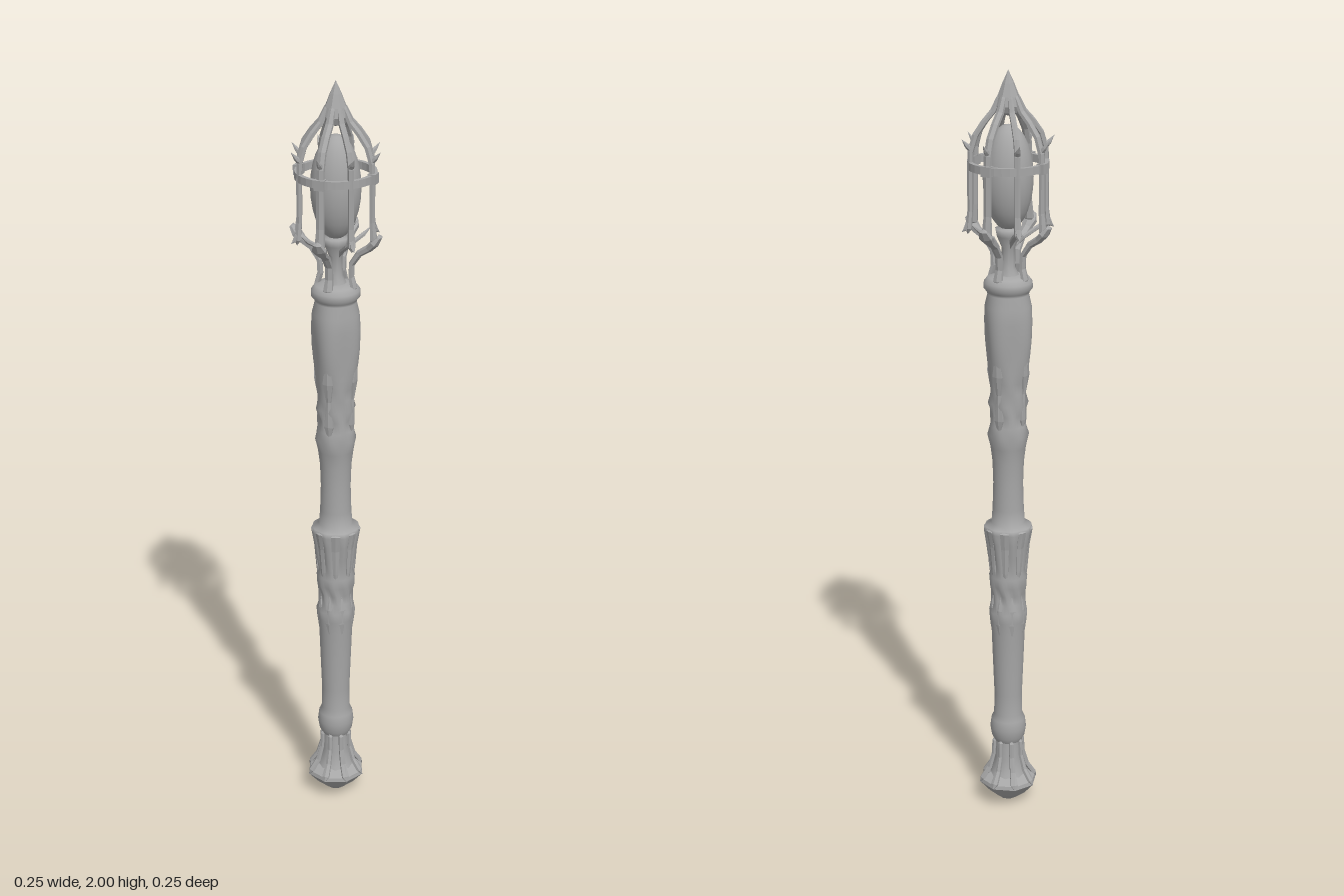
import * as THREE from 'three';
import { mergeVertices } from 'three/addons/utils/BufferGeometryUtils.js';

const metal = new THREE.MeshStandardMaterial({ color: 0xa6a6a6 });
metal.name = 'grey metal';

function add(parent, name, geo) {
  const mesh = new THREE.Mesh(geo, metal);
  mesh.name = name;
  parent.add(mesh);
  return mesh;
}

// Turned part from [radius, y] points; carve(angle, y) scales the radius
function turned(profile, sides, carve, flat) {
  let geo = new THREE.LatheGeometry(profile.map(([r, y]) => new THREE.Vector2(r, y)), sides);
  const p = geo.attributes.position;
  for (let i = 0; carve && i < p.count; i++) {
    const x = p.getX(i), z = p.getZ(i), k = carve(Math.atan2(z, x), p.getY(i));
    p.setX(i, x * k);
    p.setZ(i, z * k);
  }
  geo.deleteAttribute('normal');
  geo.deleteAttribute('uv');
  geo = mergeVertices(geo, 1e-5);
  if (flat) geo = geo.toNonIndexed();
  geo.computeVertexNormals();
  return geo;
}

// Tapered rib in the radial plane from [radius, y, halfWidth, halfDepth] points
function rib(points, sides = 6) {
  const pos = [], index = [], n = points.length;
  points.forEach(([r, y, w, d], i) => {
    const a = points[Math.max(i - 1, 0)], b = points[Math.min(i + 1, n - 1)];
    const t = new THREE.Vector2(b[0] - a[0], b[1] - a[1]).normalize();
    for (let j = 0; j < sides; j++) {
      const q = (j / sides) * Math.PI * 2, c = Math.cos(q) * d;
      pos.push(r + t.y * c, y - t.x * c, -Math.sin(q) * w);
    }
  });
  for (let i = 0; i < n - 1; i++) {
    for (let j = 0; j < sides; j++) {
      const a = i * sides + j, b = i * sides + (j + 1) % sides;
      index.push(a, b, b + sides, a, b + sides, a + sides);
    }
  }
  let geo = new THREE.BufferGeometry();
  geo.setAttribute('position', new THREE.Float32BufferAttribute(pos, 3));
  geo.setIndex(index);
  geo = geo.toNonIndexed();
  geo.computeVertexNormals();
  return geo;
}

// Repeats a geometry around the y axis
function around(parent, name, geo, count, start = 0) {
  for (let k = 0; k < count; k++) {
    add(parent, name, geo).rotation.y = start + (k / count) * Math.PI * 2;
  }
}

const bump = (y, mid, half) => Math.max(0, 1 - Math.abs(y - mid) / half);

export function createModel() {
  const model = new THREE.Group();
  model.name = 'ornateSceptre';
  const Q = Math.PI / 4;

  // Shaft with carved swellings
  const shaft = [
    [0.036, 0.18], [0.044, 0.195], [0.048, 0.22], [0.045, 0.245], [0.038, 0.26], [0.037, 0.32],
    [0.041, 0.42], [0.044, 0.5], [0.049, 0.535], [0.05, 0.56], [0.044, 0.585], [0.043, 0.61],
    [0.049, 0.635], [0.05, 0.66], [0.046, 0.68], [0.051, 0.72], [0.056, 0.76], [0.063, 0.79],
    [0.061, 0.802], [0.044, 0.81], [0.041, 0.85], [0.039, 0.92], [0.041, 0.98], [0.046, 1.02],
    [0.053, 1.055], [0.047, 1.08], [0.045, 1.11], [0.049, 1.14], [0.046, 1.17], [0.05, 1.2],
    [0.053, 1.23], [0.057, 1.27], [0.06, 1.31], [0.062, 1.36], [0.06, 1.4], [0.053, 1.43],
    [0.055, 1.437], [0.063, 1.447], [0.062, 1.462], [0.052, 1.475], [0.028, 1.48], [0, 1.48],
  ];
  add(model, 'shaft', turned(shaft, 40, (a, y) => {
    const leaf = 0.11 * bump(y, 0.74, 0.07) * Math.cos(8 * a);
    const scallop = 0.07 * bump(y, 0.6, 0.08) * Math.cos(8 * a + Math.PI * Math.sin(y * 60));
    const drape = 0.08 * bump(y, 1.3, 0.13) * Math.cos(4 * a + 3 * (y - 1.3));
    const carving = 0.1 * bump(y, 1.13, 0.11) * Math.cos(6 * a + 2 * Math.sin(y * 70));
    return 1 + leaf + scallop + drape + carving;
  }));

  // Raised leaves on the shaft
  const leaves = new THREE.Group();
  leaves.name = 'shaftLeaves';
  model.add(leaves);
  around(leaves, 'gripLeaf', rib([
    [0.044, 0.63, 0, 0], [0.046, 0.68, 0.008, 0.005], [0.051, 0.75, 0.012, 0.006],
    [0.06, 0.795, 0.014, 0.005], [0.05, 0.807, 0, 0],
  ]), 8, Q / 2);
  around(leaves, 'upperLeaf', rib([
    [0.043, 1.05, 0, 0], [0.045, 1.1, 0.014, 0.006], [0.046, 1.17, 0.007, 0.005],
    [0.052, 1.22, 0.016, 0.006], [0.054, 1.3, 0.006, 0.005], [0.053, 1.38, 0, 0],
  ]), 4, 0);
  around(leaves, 'lowerLeaf', rib([
    [0.038, 0.46, 0, 0], [0.044, 0.53, 0.013, 0.005], [0.044, 0.57, 0.011, 0.005], [0.041, 0.61, 0, 0],
  ]), 8, 0);

  // Flared, fluted pommel with a faceted point
  const pommel = new THREE.Group();
  pommel.name = 'pommel';
  model.add(pommel);
  add(pommel, 'pommelCore', turned(
    [[0.06, 0.065], [0.044, 0.09], [0.035, 0.13], [0.033, 0.19]], 16));
  add(pommel, 'pommelPoint', turned(
    [[0, 0], [0.022, 0.008], [0.05, 0.03], [0.074, 0.058], [0.072, 0.068], [0.045, 0.085]], 16,
    (a) => 1 + 0.04 * Math.cos(8 * a), true));
  around(pommel, 'pommelRib', rib([
    [0.036, 0.19, 0, 0], [0.038, 0.18, 0.007, 0.006], [0.04, 0.14, 0.007, 0.006],
    [0.051, 0.1, 0.008, 0.007], [0.071, 0.07, 0.011, 0.007], [0.079, 0.058, 0, 0],
  ].reverse()), 8);

  // Openwork neck and cup
  const head = new THREE.Group();
  head.name = 'lanternHead';
  model.add(head);
  add(head, 'neckStem', turned(
    [[0.03, 1.475], [0.018, 1.5], [0.017, 1.55], [0.03, 1.58], [0.034, 1.6], [0, 1.605]], 10));
  around(head, 'neckArm', rib([
    [0.052, 1.46, 0, 0], [0.05, 1.47, 0.014, 0.008], [0.042, 1.5, 0.011, 0.008],
    [0.044, 1.535, 0.011, 0.008], [0.064, 1.565, 0.012, 0.009], [0.09, 1.582, 0.015, 0.01],
    [0.106, 1.598, 0.021, 0.011], [0.119, 1.615, 0.012, 0.006], [0.116, 1.622, 0, 0],
  ]), 4);
  around(head, 'cupSpoke', rib([
    [0.02, 1.55, 0, 0], [0.04, 1.575, 0.007, 0.006], [0.075, 1.597, 0.007, 0.006], [0.1, 1.618, 0, 0],
  ]), 4, Q);

  // Cage bars bending in to the finial
  const bar = (w) => rib([
    [0.104, 1.59, 0, 0], [0.102, 1.605, w * 1.3, 0.009], [0.098, 1.65, w, 0.007],
    [0.098, 1.75, w, 0.007], [0.096, 1.8, w, 0.008], [0.084, 1.84, w, 0.008],
    [0.062, 1.872, w, 0.008], [0.039, 1.898, w, 0.008], [0.024, 1.93, w * 0.8, 0.007], [0.012, 1.96, 0, 0],
  ]);
  around(head, 'mainBar', bar(0.011), 4);
  around(head, 'diagonalBar', bar(0.008), 4, Q);
  around(head, 'thorn', rib([
    [0.09, 1.795, 0, 0], [0.094, 1.805, 0.008, 0.009], [0.106, 1.816, 0.006, 0.006], [0.119, 1.832, 0, 0],
  ]), 8);
  around(head, 'lowerHook', rib([
    [0.096, 1.635, 0, 0], [0.102, 1.618, 0.008, 0.008], [0.111, 1.603, 0.006, 0.005], [0.12, 1.596, 0, 0],
  ]), 4, Q);

  // Band around the cage, with a clasp at each main bar
  add(head, 'cageRing', turned([
    [0.092, 1.754], [0.103, 1.754], [0.103, 1.774], [0.092, 1.774], [0.092, 1.754],
  ], 32, null, true));
  const clasp = new THREE.BoxGeometry(0.02, 0.026, 0.026);
  clasp.translate(0.1, 1.764, 0);
  around(head, 'ringClasp', clasp, 4);

  // Egg-shaped core
  const egg = new THREE.SphereGeometry(1, 20, 14);
  egg.scale(0.064, 0.135, 0.064);
  add(head, 'egg', egg).position.y = 1.73;

  // Pointed finial
  add(head, 'finial', turned([
    [0, 1.885], [0.026, 1.895], [0.034, 1.912], [0.028, 1.935], [0.015, 1.968], [0, 2],
  ], 8, null, true));

  return model;
}
